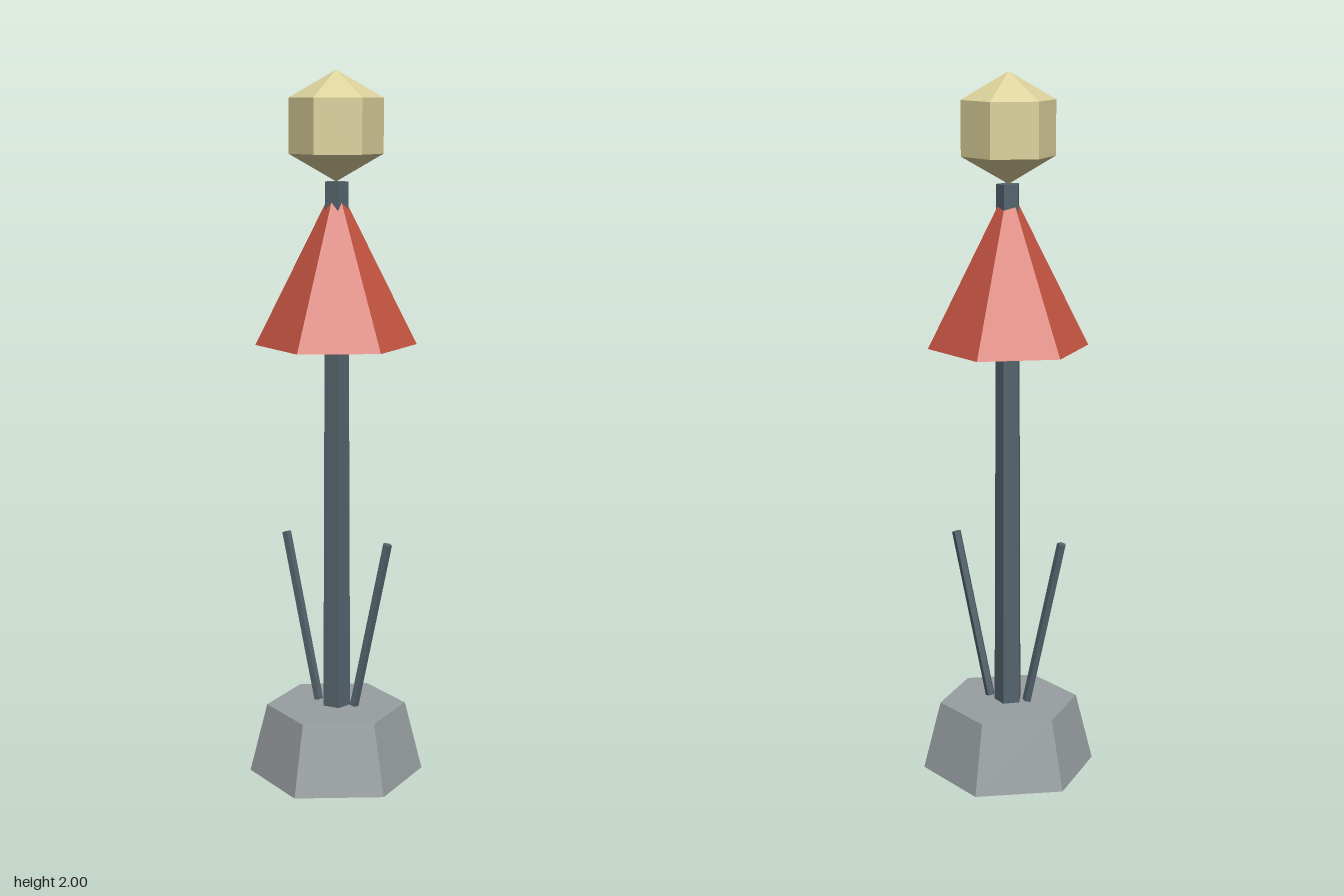
import * as THREE from 'three';

const material = (name, color) => {
  const m = new THREE.MeshStandardMaterial({ color, flatShading: true });
  m.name = name;
  return m;
};

export function createModel() {
  const stone = material('grey stone', 0x989ea1);
  const iron = material('slate iron', 0x53626b);
  const red = material('brick red', 0xc85542);
  const cream = material('pale cream', 0xdbd19b);

  const group = new THREE.Group();
  const add = (name, geometry, mat, x, y) => {
    const mesh = new THREE.Mesh(geometry, mat);
    mesh.name = name;
    mesh.position.set(x, y, 0);
    group.add(mesh);
    return mesh;
  };
  // Five-sided rod with its flat side to the front
  const rod = (top, bottom, height) =>
    new THREE.CylinderGeometry(top, bottom, height, 5, 1).rotateY(Math.PI);

  // Tapered hexagonal foot
  add('base', new THREE.CylinderGeometry(0.2, 0.25, 0.2, 6), stone, 0, 0.1);

  // Main post, from the foot to the tip of the shade
  add('post', rod(0.034, 0.041, 1.5), iron, 0, 0.95);

  // Conical shade, closed below
  add('shade', new THREE.ConeGeometry(0.225, 0.45, 6), red, 0, 1.475);

  // Faceted globe with corners pointing to front and back
  add('globe', new THREE.SphereGeometry(0.15, 6, 3).rotateY(Math.PI / 2), cream, 0, 1.85);

  // Pair of rods leaning outwards from the foot
  for (const [name, side] of [['leftRod', 1], ['rightRod', -1]]) {
    add(name, rod(0.0135, 0.0135, 0.5), iron, side * 0.11, 0.45).rotation.z = -side * 0.21;
  }
  return group;
}
